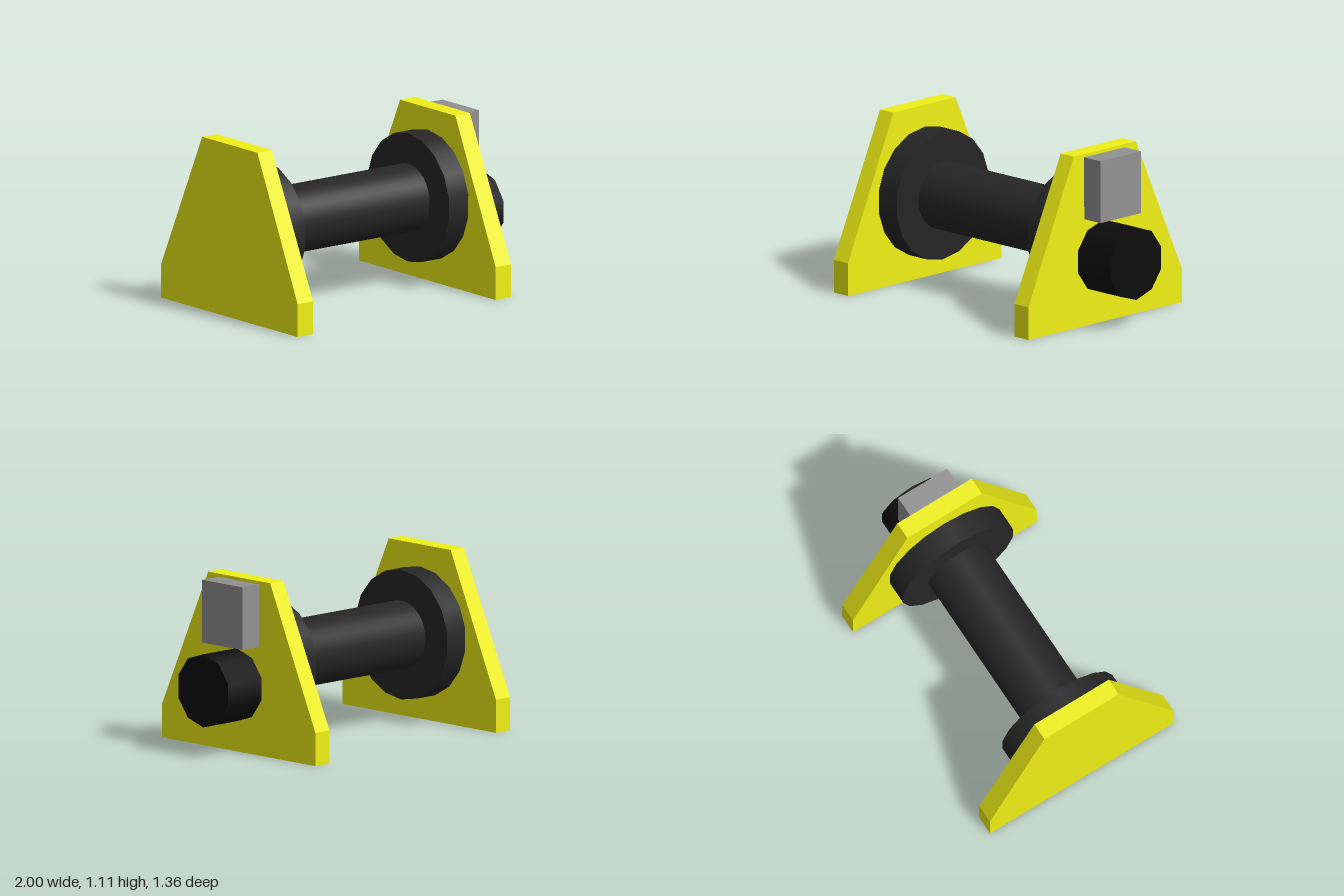
import * as THREE from 'three';

const material = (color) => new THREE.MeshStandardMaterial({ color });

export function createModel() {
  const group = new THREE.Group();
  const yellow = material(0xf0f016);
  const darkGrey = material(0x262626);
  const black = material(0x0c0c0c);
  const grey = material(0x929292);

  const add = (name, geometry, mat, x, y, z) => {
    const mesh = new THREE.Mesh(geometry, mat);
    mesh.name = name;
    mesh.position.set(x, y, z);
    group.add(mesh);
  };

  // Cylinder lying along x between two ends, with a corner pointing up
  const rod = (name, x0, x1, radius, sides, mat, y, z) => {
    const geometry = new THREE.CylinderGeometry(radius, radius, x1 - x0, sides, 1, false, Math.PI / 2);
    geometry.rotateZ(-Math.PI / 2);
    add(name, geometry, mat, (x0 + x1) / 2, y, z);
  };

  // Side plate: trapezoid on a short upright base, slightly thinner at the top
  const height = 1.105, thickness = 0.126;
  const outline = new THREE.Shape([
    [-0.68, 0], [0.68, 0], [0.68, 0.21], [0.275, height], [-0.275, height], [-0.68, 0.21],
  ].map(([z, y]) => new THREE.Vector2(z, y)));
  const plate = new THREE.ExtrudeGeometry(outline, { depth: thickness, bevelEnabled: false });
  plate.translate(0, 0, -thickness / 2).rotateY(Math.PI / 2);
  const pos = plate.attributes.position;
  for (let i = 0; i < pos.count; i++) {
    pos.setX(i, pos.getX(i) * (1 - 0.08 * pos.getY(i) / height));
  }
  plate.computeVertexNormals();
  add('rightSidePlate', plate, yellow, -0.937, 0, 0);
  add('leftSidePlate', plate, yellow, 0.647, 0, 0);

  // Drum and its end flanges
  rod('drum', -0.73, 0.44, 0.215, 32, darkGrey, 0.555, 0);
  rod('rightFlange', -0.89, -0.717, 0.412, 18, darkGrey, 0.553, 0);
  rod('leftFlange', 0.432, 0.6, 0.412, 18, darkGrey, 0.553, 0);

  // Motor and control box on the outer face of the left plate
  rod('motor', 0.7, 1, 0.232, 10, black, 0.422, 0.02);
  add('controlBox', new THREE.BoxGeometry(0.16, 0.398, 0.36), grey, 0.77, 0.886, 0.004);

  return group;
}
